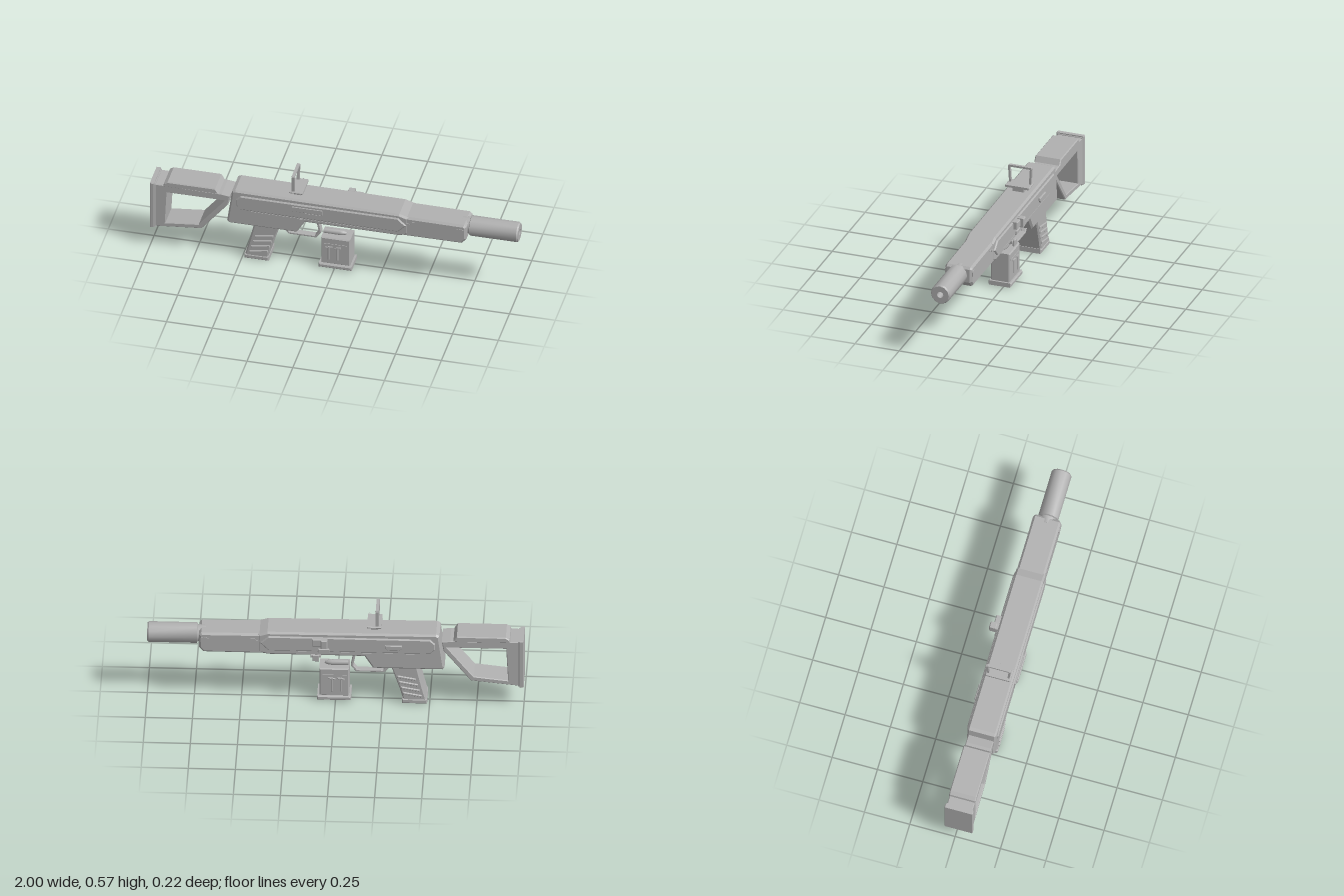
import * as THREE from 'three';
import { toCreasedNormals } from 'three/addons/utils/BufferGeometryUtils.js';

const ZC = 0.018; // the body's centre plane

export function createModel() {
  const model = new THREE.Group();
  model.name = 'scifiRifle';
  const grey = new THREE.MeshStandardMaterial({ color: 0xb0b0b0 });
  grey.name = 'grey';

  const add = (name, geometry, parent = model) => {
    const mesh = new THREE.Mesh(geometry, grey);
    mesh.name = name;
    parent.add(mesh);
    return mesh;
  };
  const toPoints = (list) => list.map(([x, y]) => new THREE.Vector2(x, y));

  // Side profile extruded between two z values, with chamfered edges
  const profile = (name, points, z0, z1, bevel = 0, hole = null) => {
    const shape = new THREE.Shape(toPoints(points));
    if (hole) shape.holes.push(new THREE.Path(toPoints(hole)));
    const g = new THREE.ExtrudeGeometry(shape, {
      depth: z1 - z0 - 2 * bevel, bevelEnabled: bevel > 0, bevelSegments: 1,
      bevelSize: bevel, bevelThickness: bevel, bevelOffset: -bevel,
    });
    g.translate(0, 0, z0 + bevel);
    return add(name, g);
  };
  const centred = (name, points, half, bevel, hole) =>
    profile(name, points, ZC - half, ZC + half, bevel, hole);
  const rect = (x0, x1, y0, y1) => [[x0, y0], [x1, y0], [x1, y1], [x0, y1]];

  // The same raised plate on both flanks
  const bothSides = (name, points, inner, outer, bevel = 0) => {
    profile(name + 'Left', points, ZC + inner, ZC + outer, bevel);
    profile(name + 'Right', points, ZC - outer, ZC - inner, bevel);
  };
  // Slanted bar between two points, as a four-sided outline
  const bar = (x0, y0, x1, y1, w) => {
    const l = Math.hypot(x1 - x0, y1 - y0);
    const nx = -(y1 - y0) / l * w / 2, ny = (x1 - x0) / l * w / 2;
    return [[x0 + nx, y0 + ny], [x0 - nx, y0 - ny], [x1 - nx, y1 - ny], [x1 + nx, y1 + ny]];
  };

  // Receiver and handguard
  centred('receiver', [
    [-0.58, 0.235], [-0.57, 0.222], [-0.2, 0.222], [-0.155, 0.294], [0.36, 0.294],
    [0.41, 0.31], [0.41, 0.416], [0.36, 0.432], [-0.535, 0.438], [-0.553, 0.43],
  ], 0.079, 0.01);
  centred('handguard', [
    [0.2, 0.296], [0.7, 0.298], [0.725, 0.328], [0.725, 0.404], [0.712, 0.416], [0.2, 0.42],
  ], 0.076, 0.011);

  // Side panels and surface fittings
  bothSides('sidePanel', [
    [-0.53, 0.35], [-0.505, 0.324], [0.355, 0.324], [0.4, 0.37], [0.355, 0.411],
    [-0.505, 0.411], [-0.53, 0.385],
  ], 0.07, 0.087, 0.006);
  bothSides('panelRail', rect(-0.45, 0.25, 0.312, 0.318), 0.07, 0.081);
  bothSides('handguardSeam', [
    [0.4, 0.375], [0.425, 0.375], [0.432, 0.388], [0.45, 0.388], [0.45, 0.393],
    [0.428, 0.393], [0.421, 0.381], [0.4, 0.381],
  ], 0.07, 0.079);
  bothSides('muzzleLatch', [
    [0.67, 0.37], [0.715, 0.362], [0.715, 0.388], [0.69, 0.393], [0.67, 0.385],
  ], 0.07, 0.079);

  // Ejection port on the left flank
  profile('portFrame', rect(-0.227, -0.05, 0.345, 0.406), 0.1, 0.107);
  profile('portCover', rect(-0.222, -0.055, 0.367, 0.396), 0.1, 0.111, 0.002);
  profile('portLatch', rect(-0.155, -0.055, 0.349, 0.362), 0.1, 0.109);
  profile('portPin', rect(-0.18, -0.165, 0.312, 0.32), 0.09, 0.108);

  // Charging handle and catches on the right flank
  profile('chargingSlide', rect(0.04, 0.12, 0.37, 0.412), -0.092, -0.06, 0.004);
  profile('chargingKnob', rect(0.04, 0.075, 0.365, 0.417), -0.111, -0.073, 0.005);
  profile('rearCatch', [
    [-0.355, 0.36], [-0.34, 0.345], [-0.28, 0.345], [-0.265, 0.36], [-0.265, 0.375], [-0.355, 0.375],
  ], -0.078, -0.06, 0.003);
  profile('frontCatch', rect(0.03, 0.09, 0.324, 0.345), -0.078, -0.055, 0.003);
  profile('slingLug', rect(0.085, 0.12, 0.268, 0.305), -0.077, -0.064, 0.003);
  profile('slingLugBridge', rect(0.075, 0.13, 0.286, 0.303), -0.068, -0.03, 0.002);

  // Barrel sleeve with a bored muzzle
  const barrel = new THREE.LatheGeometry(toPoints([
    [0, 0.69], [0.046, 0.69], [0.046, 0.732], [0.055, 0.736], [0.055, 0.992],
    [0.049, 1], [0.018, 1], [0.018, 0.93], [0, 0.93],
  ]), 12);
  barrel.rotateZ(-Math.PI / 2);
  barrel.translate(0, 0.373, ZC);
  add('barrel', toCreasedNormals(barrel, 0.6));

  // Open-frame shoulder stock
  centred('stockFrame', [
    [-0.98, 0.128], [-0.72, 0.155], [-0.575, 0.335], [-0.565, 0.392], [-0.61, 0.398], [-0.98, 0.402],
  ], 0.07, 0.004, [
    [-0.917, 0.16], [-0.735, 0.18], [-0.592, 0.357], [-0.907, 0.357],
  ]);
  centred('buttPadInner', rect(-0.983, -0.97, 0.125, 0.405), 0.073, 0.003);
  centred('buttPad', [[-1, 0.121], [-0.977, 0.124], [-0.977, 0.411], [-1, 0.411]], 0.078, 0.004);
  centred('cheekRest', [
    [-0.93, 0.395], [-0.625, 0.395], [-0.645, 0.428], [-0.905, 0.428], [-0.925, 0.415],
  ], 0.073, 0.005);

  // Pistol grip with slanted ribs
  centred('grip', [
    [-0.485, 0.02], [-0.36, 0.02], [-0.345, 0.08], [-0.295, 0.23], [-0.435, 0.23], [-0.465, 0.1],
  ], 0.066, 0.008);
  centred('gripBase', rect(-0.487, -0.354, 0.002, 0.03), 0.069, 0.006);
  for (let i = 0; i < 4; i++) {
    const x = -0.458 + i * 0.01, y = 0.05 + i * 0.034;
    bothSides('gripRib' + i, bar(x, y, x + 0.1, y + 0.018, 0.013), 0.06, 0.074, 0.003);
  }

  // Trigger guard and trigger
  centred('triggerGuard', [
    [-0.295, 0.235], [-0.293, 0.203], [-0.258, 0.163], [-0.108, 0.163], [-0.08, 0.2],
    [-0.095, 0.28], [-0.17, 0.28], [-0.2, 0.235],
  ], 0.018, 0.002, [
    [-0.282, 0.228], [-0.281, 0.208], [-0.252, 0.174], [-0.114, 0.174], [-0.093, 0.203],
    [-0.106, 0.268], [-0.163, 0.268], [-0.193, 0.228],
  ]);
  centred('trigger', [
    [-0.222, 0.236], [-0.195, 0.236], [-0.208, 0.21], [-0.216, 0.196], [-0.224, 0.2], [-0.216, 0.215],
  ], 0.009, 0.002);

  // Detached magazine with its top round
  centred('magazine', rect(-0.072, 0.086, 0.03, 0.199), 0.053, 0.006);
  centred('magazineBase', rect(-0.083, 0.097, 0.009, 0.034), 0.065, 0.006);
  bothSides('magazineBand', rect(-0.06, 0.07, 0.157, 0.162), 0.05, 0.056);
  for (const x of [-0.03, 0.018]) {
    bothSides('magazineRib', bar(x, 0.06, x, 0.145, 0.009), 0.05, 0.058, 0.002);
    bothSides('magazineRibTop', bar(x - 0.018, 0.135, x + 0.02, 0.142, 0.009), 0.05, 0.058, 0.002);
  }
  const round = new THREE.LatheGeometry(toPoints([
    [0, -0.068], [0.015, -0.068], [0.016, 0.02], [0.013, 0.04], [0.007, 0.055], [0, 0.06],
  ]), 12);
  round.rotateZ(-Math.PI / 2);
  round.translate(0, 0.207, ZC);
  add('round', toCreasedNormals(round, 0.7));

  // Open reflex sight
  centred('sightMount', rect(-0.226, -0.188, 0.43, 0.465), 0.033, 0.002);
  centred('sightPlate', rect(-0.245, -0.168, 0.463, 0.475), 0.069, 0.004);
  for (const s of [-1, 1]) {
    const post = new THREE.BoxGeometry(0.016, 0.096, 0.011);
    const p = post.attributes.position;
    for (let i = 0; i < p.count; i++) if (p.getY(i) > 0) p.setZ(i, p.getZ(i) + s * 0.006);
    post.translate(-0.222, 0.519, ZC + s * 0.056);
    post.computeVertexNormals();
    add(s > 0 ? 'sightPostLeft' : 'sightPostRight', post);
  }
  centred('sightTopBar', rect(-0.23, -0.214, 0.562, 0.573), 0.064, 0.002);
  const dot = new THREE.SphereGeometry(0.002, 8, 6);
  dot.translate(-0.18, 0.525, ZC);
  add('aimingDot', dot);

  return model;
}
